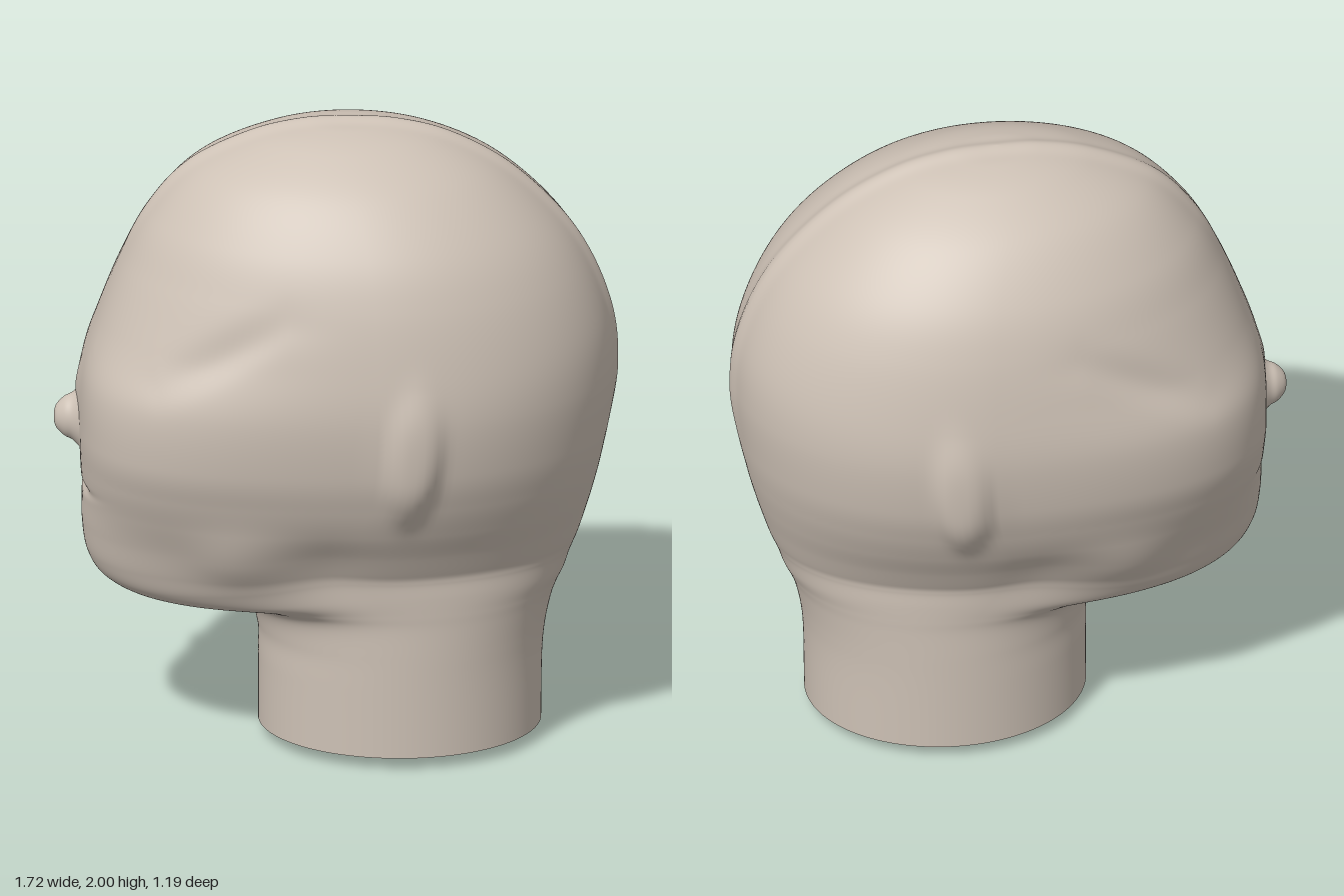
import * as THREE from 'three';

// Horizontal sections, top to bottom: [y, face x, back x, half width, x of widest point, face squareness]
const SECTIONS = [
  [1.988, 0.035, 0.035, 0, 0.035, 2],
  [1.98, -0.1, 0.18, 0.09, 0.035, 2],
  [1.94, -0.26, 0.34, 0.2, 0.04, 2],
  [1.845, -0.445, 0.515, 0.34, 0.06, 2],
  [1.7, -0.575, 0.67, 0.455, 0.1, 2.05],
  [1.55, -0.655, 0.77, 0.52, 0.12, 2.1],
  [1.37, -0.725, 0.835, 0.56, 0.13, 2.3],
  [1.2, -0.775, 0.85, 0.577, 0.13, 2.7],
  [1.02, -0.783, 0.832, 0.56, 0.12, 2.8],
  [0.9, -0.78, 0.81, 0.527, 0.1, 2.65],
  [0.8, -0.775, 0.785, 0.487, 0.07, 2.45],
  [0.7, -0.775, 0.757, 0.437, 0.05, 2.3],
  [0.6, -0.76, 0.733, 0.4, 0.05, 2.25],
  [0.53, -0.715, 0.72, 0.387, 0.08, 2.2],
  [0.49, -0.62, 0.702, 0.38, 0.13, 2.1],
  [0.478, -0.4, 0.677, 0.374, 0.17, 2],
  [0.45, -0.28, 0.66, 0.37, 0.19, 2],
  [0.36, -0.24, 0.64, 0.37, 0.195, 2],
  [0.25, -0.237, 0.63, 0.37, 0.195, 2],
  [0.04, -0.237, 0.627, 0.37, 0.195, 2],
];
const SEGMENTS = 200;
const ROWS = 240;

const bell = (d, width) => Math.exp(-((d / width) ** 2));
const signedPow = (v, e) => Math.sign(v) * Math.abs(v) ** e;
const { smoothstep, clamp } = THREE.MathUtils;

// Outward offset that models the soft relief of the head
function relief(x, y, z) {
  const side = Math.abs(z);
  let d = 0;
  // crest along the middle of the skull
  if (y > 0.9) {
    d += 0.012 * bell(z, 0.03) * smoothstep(y, 0.9, 1.2) * smoothstep(x, -0.72, -0.5);
  }
  if (side > 0.15) {
    // brow crease, rising from the eye to the temple
    const t = clamp((x + 0.55) / 0.4, 0, 1);
    const line = 1.28 + 0.23 * t;
    d -= 0.016 * bell(y - line, 0.06) * bell(x + 0.36, 0.22);
    // jaw corner and the hollow behind it
    d += 0.025 * bell(x + 0.3, 0.14) * bell(y - 0.7, 0.1);
    d -= 0.014 * bell(x + 0.02, 0.13) * bell(y - 0.66, 0.12);
    // ear: an upright lobe, blunt below and fading into the head above
    const ex = (x - 0.235 - 0.09 * (y - 1.1)) / 0.08;
    const ey = (y - 1.1) / 0.215;
    const e = ex * ex + ey * ey;
    d += (0.032 - 0.018 * clamp(ey, -1, 1)) * Math.exp(-e * e);
  }
  if (x < -0.4) {
    // mouth line
    d -= 0.028 * bell(y - 0.82 - 0.3 * z * z, 0.014) * bell(z, 0.13);
    // bridge of the nose
    d += 0.012 * bell(z, 0.06) * bell(y - 1.12, 0.08);
  }
  return d;
}

function headGeometry() {
  const curve = (a, b, c) => new THREE.CatmullRomCurve3(
    SECTIONS.map((s) => new THREE.Vector3(s[a], s[b], s[c])), false, 'catmullrom', 0.5);
  const outline = curve(0, 1, 2);
  const shape = curve(3, 4, 5);
  const positions = [];
  const indices = [];
  const core = new THREE.Vector3(0.05, 1.1, 0);
  for (let i = 0; i <= ROWS; i++) {
    const { x: y, y: face, z: back } = outline.getPoint(i / ROWS);
    const { x: width, y: mid, z: square } = shape.getPoint(i / ROWS);
    // the jaw line rises from the chin towards the nape
    const rise = 0.08 * bell((i / ROWS) * (SECTIONS.length - 1) - 13.3, 1.5);
    for (let j = 0; j < SEGMENTS; j++) {
      const a = (j / SEGMENTS) * Math.PI * 2;
      const c = Math.cos(a);
      const power = 2 / (c < 0 ? square : 2);
      const reach = c < 0 ? mid - face : back - mid;
      const p = new THREE.Vector3(
        mid + reach * signedPow(c, power),
        y + rise * smoothstep(c, -0.9, 0.1),
        Math.max(width, 0) * signedPow(Math.sin(a), power));
      const out = p.clone().sub(core).normalize();
      p.addScaledVector(out, relief(p.x, p.y, p.z));
      positions.push(p.x, p.y, p.z);
      if (i < ROWS) {
        const k = i * SEGMENTS + j;
        const n = i * SEGMENTS + ((j + 1) % SEGMENTS);
        indices.push(k, n, k + SEGMENTS, n, n + SEGMENTS, k + SEGMENTS);
      }
    }
  }
  const geometry = new THREE.BufferGeometry();
  geometry.setAttribute('position', new THREE.Float32BufferAttribute(positions, 3));
  geometry.setIndex(indices);
  geometry.computeVertexNormals();
  return geometry;
}

export function createModel() {
  const group = new THREE.Group();
  group.name = 'mannequinHead';
  const clay = new THREE.MeshStandardMaterial({ color: 0xcdc1b5 });
  clay.name = 'warm clay';

  const add = (name, geometry, x, y, z) => {
    const mesh = new THREE.Mesh(geometry, clay);
    mesh.name = name;
    mesh.position.set(x, y, z);
    group.add(mesh);
    return mesh;
  };

  // Skull, face, ears, jaw and neck in one skin
  add('headAndNeck', headGeometry(), 0, 0, 0);

  // Flat underside of the neck
  const base = add('neckBase', new THREE.CircleGeometry(1, SEGMENTS), 0.195, 0.04, 0);
  base.rotation.x = Math.PI / 2;
  base.scale.set(0.432, 0.37, 1);

  // Small lug under the neck
  add('baseLug', new THREE.SphereGeometry(1, 32, 20).scale(0.03, 0.03, 0.09), -0.04, 0.03, 0);

  // Nose: a rounded tip flaring into the face
  const noseProfile = new THREE.SplineCurve([
    [0.125, -0.025], [0.09, 0.002], [0.068, 0.025], [0.056, 0.05], [0.035, 0.073], [0.015, 0.081], [0, 0.082],
  ].map(([r, h]) => new THREE.Vector2(r, h))).getPoints(30);
  noseProfile.forEach((p) => { p.x = Math.max(p.x, 0); });
  const nose = add('nose', new THREE.LatheGeometry(noseProfile, 48).scale(1.1, 1, 0.9), -0.778, 1.02, 0);
  nose.rotation.z = Math.PI / 2;

  return group;
}
